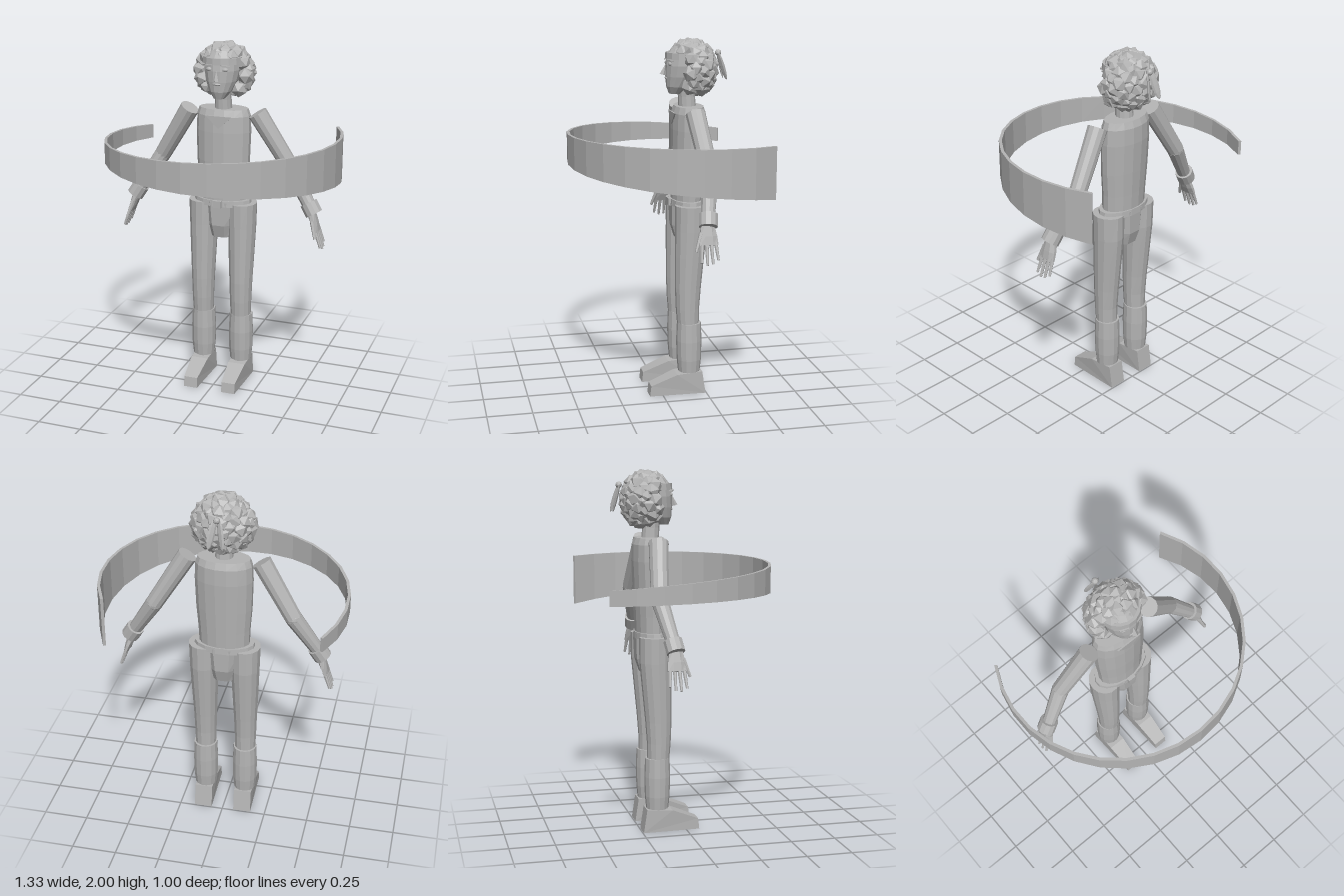
import * as THREE from 'three';

const grey = new THREE.MeshStandardMaterial({ color: 0xb4b4b4, flatShading: true });
grey.name = 'plain grey';

function add(parent, geometry, name, x = 0, y = 0, z = 0) {
  const mesh = new THREE.Mesh(geometry, grey);
  mesh.name = name;
  mesh.position.set(x, y, z);
  parent.add(mesh);
  return mesh;
}

// Closed skin over elliptical cross-sections [x, y, z, rx, rz], listed from bottom to top
function loft(rings, sides = 14) {
  const pos = [], idx = [];
  for (const [x, y, z, rx, rz] of rings)
    for (let i = 0; i < sides; i++) {
      const a = ((i + 0.5) / sides) * Math.PI * 2;
      pos.push(x + Math.sin(a) * rx, y, z + Math.cos(a) * rz);
    }
  const last = (rings.length - 1) * sides;
  for (let r = 0; r < last; r += sides)
    for (let i = 0; i < sides; i++) {
      const j = (i + 1) % sides;
      idx.push(r + i, r + j, r + sides + j, r + i, r + sides + j, r + sides + i);
    }
  for (let i = 1; i < sides - 1; i++) {
    idx.push(0, i + 1, i);
    idx.push(last, last + i, last + i + 1);
  }
  const g = new THREE.BufferGeometry();
  g.setAttribute('position', new THREE.Float32BufferAttribute(pos, 3));
  g.setIndex(idx);
  g.computeVertexNormals();
  return g;
}

// Cylinder between two points
function rod(parent, name, a, b, ra, rb, sides = 12) {
  const p = new THREE.Vector3(...a), q = new THREE.Vector3(...b);
  const dir = q.clone().sub(p);
  const mesh = add(parent, new THREE.CylinderGeometry(rb, ra, dir.length(), sides), name);
  mesh.position.copy(p).add(q).multiplyScalar(0.5);
  mesh.quaternion.setFromUnitVectors(new THREE.Vector3(0, 1, 0), dir.normalize());
  return mesh;
}

// Floating ribbon that widens around its arc
function ribbonGeometry() {
  const pos = [], idx = [], n = 20;
  for (let i = 0; i <= n; i++) {
    const t = (i / n) * 2 - 1, a = (t * Math.PI * 2) / 3;
    const top = 1.488 + 0.043 * t - 0.045 * t * t;
    const low = 1.322 - 0.058 * t - 0.06 * t * t;
    for (const [r, y] of [[0.667, low], [0.667, top], [0.651, top], [0.651, low]])
      pos.push(Math.sin(a) * r, y, -0.17 + Math.cos(a) * r);
  }
  for (let i = 0; i < n; i++)
    for (let k = 0; k < 4; k++) {
      const a = i * 4 + k, b = i * 4 + ((k + 1) % 4);
      idx.push(a, a + 4, b + 4, a, b + 4, b);
    }
  const e = n * 4;
  idx.push(0, 1, 2, 0, 2, 3, e, e + 2, e + 1, e, e + 3, e + 2);
  const g = new THREE.BufferGeometry();
  g.setAttribute('position', new THREE.Float32BufferAttribute(pos, 3));
  g.setIndex(idx);
  g.computeVertexNormals();
  return g;
}

// Wedge shoe: side outline extruded across, narrowed toward the toe
function shoeGeometry() {
  const s = new THREE.Shape();
  [[-0.245, 0], [0.075, 0], [0.068, 0.06], [-0.08, 0.12], [-0.225, 0.13]]
    .forEach(([z, y], i) => (i ? s.lineTo(z, y) : s.moveTo(z, y)));
  const g = new THREE.ExtrudeGeometry(s, { depth: 0.1, bevelEnabled: false });
  g.translate(0, 0, -0.05).rotateY(-Math.PI / 2);
  const p = g.attributes.position;
  for (let i = 0; i < p.count; i++) if (p.getZ(i) > 0) p.setX(i, p.getX(i) * 0.8);
  g.computeVertexNormals();
  return g;
}

function buildLeg(root, s) {
  const leg = new THREE.Group();
  leg.name = s > 0 ? 'leftLeg' : 'rightLeg';
  root.add(leg);
  const x = s * 0.115;
  add(leg, loft([
    [x, 0.38, -0.152, 0.058, 0.06], [x, 0.5, -0.148, 0.062, 0.066], [x, 0.62, -0.15, 0.066, 0.073],
    [x, 0.8, -0.158, 0.074, 0.082], [x, 0.95, -0.165, 0.08, 0.089], [x, 1.09, -0.165, 0.084, 0.09],
  ]), 'trouserLeg');
  add(leg, loft([
    [x, 0.13, -0.158, 0.062, 0.062], [x, 0.2, -0.158, 0.069, 0.069],
    [x, 0.31, -0.157, 0.071, 0.072], [x, 0.415, -0.157, 0.066, 0.068],
  ]), 'legWarmer');
  add(leg, loft([[x, 0.08, -0.165, 0.048, 0.055], [x, 0.15, -0.16, 0.05, 0.055]]), 'ankle');
  add(leg, shoeGeometry(), 'shoe', x, 0, 0);
}

function buildArm(root, s) {
  const arm = new THREE.Group();
  arm.name = s > 0 ? 'leftArm' : 'rightArm';
  root.add(arm);
  const shoulder = [s * 0.198, 1.612, -0.165], elbow = [s * 0.378, 1.32, -0.2], wrist = [s * 0.505, 1.12, -0.16];
  rod(arm, 'upperArm', shoulder, elbow, 0.054, 0.047);
  rod(arm, 'forearm', elbow, wrist, 0.047, 0.037);
  add(arm, new THREE.SphereGeometry(0.047, 12, 8), 'elbow', ...elbow);
  rod(arm, 'cuff', [s * 0.502, 1.128, -0.162], [s * 0.538, 1.07, -0.153], 0.05, 0.05);
  // Hand hangs along its own tilted axis
  const hand = new THREE.Group();
  hand.name = 'hand';
  hand.position.set(s * 0.525, 1.075, -0.152);
  hand.rotation.z = s * 0.34;
  arm.add(hand);
  add(hand, loft([[0, -0.105, 0, 0.014, 0.054], [0, -0.06, 0, 0.02, 0.05], [0, 0.01, 0, 0.024, 0.035]], 8), 'palm');
  for (let i = 0; i < 4; i++) {
    const z = -0.036 + i * 0.024, len = [0.185, 0.205, 0.21, 0.195][i];
    rod(hand, 'finger', [0, -0.09, z], [0, -len, z * 1.25], 0.011, 0.007, 6);
  }
  rod(hand, 'thumb', [0, -0.04, 0.035], [-s * 0.006, -0.135, 0.068], 0.014, 0.008, 6);
}

function buildHead(root) {
  const head = new THREE.Group();
  head.name = 'head';
  root.add(head);
  add(head, loft([
    [0, 1.695, -0.1, 0.032, 0.035], [0, 1.735, -0.118, 0.064, 0.068], [0, 1.79, -0.143, 0.089, 0.097],
    [0, 1.85, -0.158, 0.102, 0.112], [0, 1.91, -0.165, 0.1, 0.11], [0, 1.955, -0.17, 0.07, 0.08],
  ], 16), 'skull');
  add(head, loft([[0, 1.885, -0.165, 0.117, 0.12], [0, 1.92, -0.165, 0.114, 0.118]], 16), 'headband');
  // Face
  const nose = add(head, new THREE.ConeGeometry(0.018, 0.06, 4), 'nose', 0, 1.828, -0.038);
  nose.rotation.x = -0.25;
  const mouth = add(head, new THREE.SphereGeometry(0.025, 8, 4), 'mouth', 0, 1.78, -0.05);
  mouth.scale.set(1, 0.3, 0.35);
  for (const s of [-1, 1]) {
    const eye = add(head, new THREE.SphereGeometry(0.019, 8, 6), 'eye', s * 0.045, 1.86, -0.06);
    eye.scale.set(1, 0.55, 0.5);
    const brow = add(head, new THREE.BoxGeometry(0.05, 0.008, 0.02), 'eyebrow', s * 0.047, 1.88, -0.06);
    brow.rotation.set(0, s * 0.35, -s * 0.12);
  }
  // Curly hair: faceted curls spread evenly over an ellipsoid, leaving face and throat open
  const curls = new THREE.Group();
  curls.name = 'hair';
  head.add(curls);
  const count = 120;
  for (let i = 0; i < count; i++) {
    const y = 1 - ((i + 0.5) / count) * 2, r = Math.sqrt(1 - y * y), a = i * 2.39996;
    const dx = Math.sin(a) * r, dz = Math.cos(a) * r;
    if (dz > 0.3 && y < 0.62) continue;
    if (y < -0.5 && dz > -0.25 && Math.abs(dx) < 0.65) continue;
    const size = 0.039 + 0.011 * Math.abs(Math.sin(i * 7.3));
    const wide = y > 0.4 ? 0.122 : 0.135;
    const curl = add(curls, new THREE.IcosahedronGeometry(size, 0), 'curl',
      dx * wide, 1.828 + y * 0.128, -0.187 + dz * 0.108);
    curl.rotation.set(i * 1.7, i * 2.3, i * 0.9);
  }
  // Headband knot with two hanging tails
  add(head, new THREE.IcosahedronGeometry(0.018, 1), 'knot', 0, 1.912, -0.34);
  for (const s of [-1, 1]) {
    const tail = add(head, new THREE.SphereGeometry(0.08, 6, 6), 'knotTail', s * 0.024, 1.842, -0.358);
    tail.scale.set(0.25, 1, 0.08);
    tail.rotation.set(0.2, s * 0.5, s * 0.18);
  }
}

export function createModel() {
  const root = new THREE.Group();
  root.name = 'figure';

  // Torso and neck
  add(root, loft([
    [0, 1.08, -0.165, 0.138, 0.086], [0, 1.2, -0.168, 0.143, 0.088], [0, 1.33, -0.17, 0.153, 0.092],
    [0, 1.5, -0.174, 0.158, 0.095], [0, 1.59, -0.175, 0.154, 0.092], [0, 1.627, -0.175, 0.142, 0.078],
  ], 16), 'torso');
  add(root, loft([[0, 1.59, -0.17, 0.05, 0.05], [0, 1.68, -0.163, 0.046, 0.047], [0, 1.76, -0.155, 0.048, 0.05]], 12), 'neck');
  const collar = new THREE.Shape();
  collar.moveTo(-0.075, 0.02).lineTo(0, -0.05).lineTo(0.075, 0.02);
  add(root, new THREE.ExtrudeGeometry(collar, { depth: 0.008, bevelEnabled: false }), 'collar', 0, 1.575, -0.086);

  // Hips, belt and buckle
  add(root, loft([
    [0, 0.885, -0.165, 0.078, 0.07], [0, 0.96, -0.165, 0.095, 0.095], [0, 1.1, -0.165, 0.122, 0.1],
  ], 8), 'hips');
  add(root, loft([[0, 1.075, -0.165, 0.17, 0.096], [0, 1.11, -0.165, 0.165, 0.094]], 16), 'belt');
  add(root, new THREE.BoxGeometry(0.046, 0.04, 0.02), 'buckle', 0, 1.092, -0.068);

  for (const s of [-1, 1]) {
    buildLeg(root, s);
    buildArm(root, s);
  }
  buildHead(root);
  add(root, ribbonGeometry(), 'ribbon');
  return root;
}
